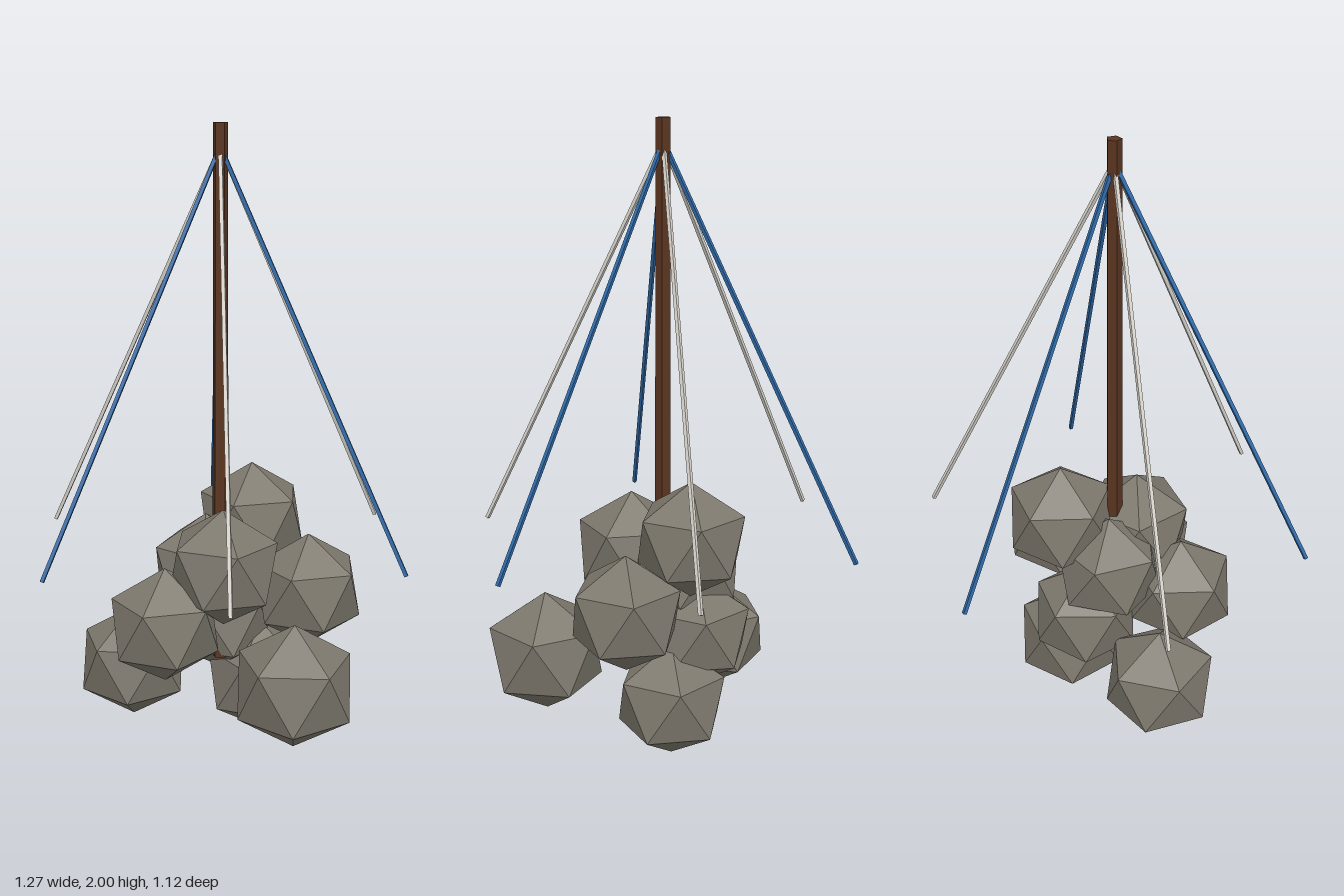
import * as THREE from 'three';

const flat = (name, color) => {
  const m = new THREE.MeshStandardMaterial({ color, flatShading: true });
  m.name = name;
  return m;
};

export function createModel() {
  const group = new THREE.Group();
  const stone = flat('stone', 0x7d786d);
  const wood = flat('wood', 0x5a3520);
  const blue = flat('blueCloth', 0x2f6aa8);
  const white = flat('whiteCloth', 0xd8d4cc);

  const add = (name, geometry, material) => {
    const mesh = new THREE.Mesh(geometry, material);
    mesh.name = name;
    group.add(mesh);
    return mesh;
  };

  // Heaped stones: x, y, z, radius, turn about the vertical
  const tilt = Math.atan(2 / (1 + Math.sqrt(5)));
  const rocks = [
    [0.16, 0.73, -0.06, 0.187, Math.PI],
    [-0.05, 0.64, 0.095, 0.19, 0],
    [0.235, 0.53, 0.155, 0.188, Math.PI],
    [-0.22, 0.46, 0.02, 0.188, Math.PI],
    [0.02, 0.33, 0.385, 0.2, Math.PI / 2],
    [-0.21, 0.255, -0.21, 0.19, Math.PI / 2],
    [0.155, 0.195, 0, 0.19, Math.PI],
    [0.07, 0.39, -0.1, 0.185, 0.6],
    [-0.005, 0.58, -0.08, 0.185, -Math.PI / 2],
  ];
  rocks.forEach(([x, y, z, r, turn], i) => {
    const g = new THREE.IcosahedronGeometry(r, 0);
    g.rotateZ(tilt); // stand on a corner
    g.rotateY(turn);
    add(`rock${i + 1}`, g, stone).position.set(x, y, z);
  });

  // Slightly tapered five-sided pole
  const pole = add('pole', new THREE.CylinderGeometry(0.023, 0.028, 1.7, 5), wood);
  pole.position.y = 1.15;

  // Six streamers, alternating in colour
  const up = new THREE.Vector3(0, 1, 0);
  for (let i = 0; i < 6; i++) {
    const a = (i * Math.PI) / 3;
    const top = new THREE.Vector3(Math.cos(a) * 0.01, 1.91, Math.sin(a) * 0.01);
    const end = new THREE.Vector3(Math.cos(a) * 0.63, 0.677, Math.sin(a) * 0.63);
    const dir = top.clone().sub(end);
    const streamer = add(`streamer${i + 1}`,
      new THREE.CylinderGeometry(0.008, 0.008, dir.length(), 4), i % 2 ? blue : white);
    streamer.position.copy(top).add(end).multiplyScalar(0.5);
    streamer.quaternion.setFromUnitVectors(up, dir.normalize());
  }
  return group;
}
